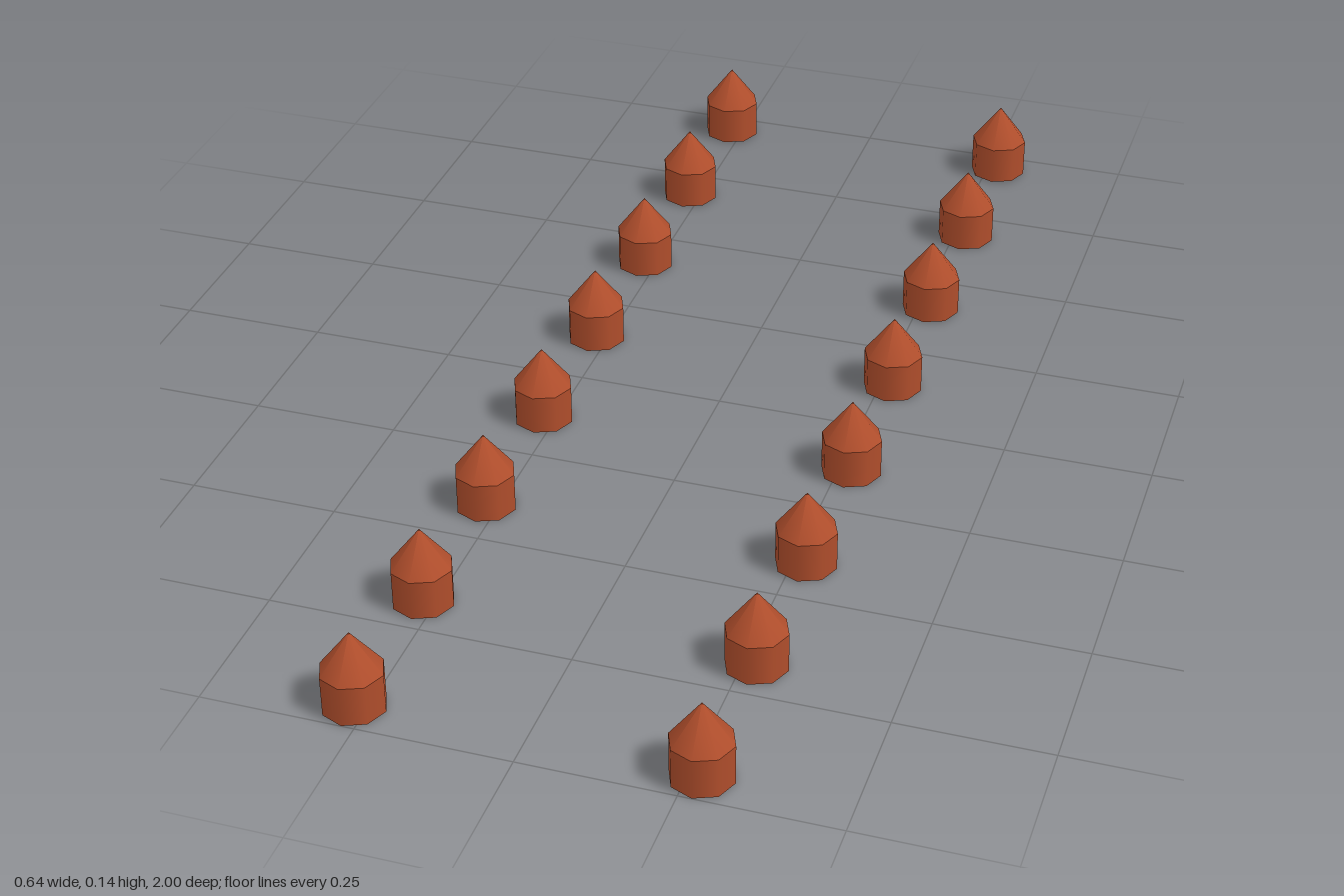
import * as THREE from 'three';

export function createModel() {
  const model = new THREE.Group();
  model.name = 'postRows';
  const rust = new THREE.MeshStandardMaterial({ color: 0xb04e2c });
  rust.name = 'rust';

  const radius = 0.051, half = 0.068, count = 8, rowX = 0.271, spacing = 0.271;

  // Eight-sided smooth stub, and the cone that caps it
  const stubGeometry = new THREE.CylinderGeometry(radius, radius, half, 8);
  stubGeometry.translate(0, half / 2, 0);
  const tipGeometry = new THREE.ConeGeometry(radius, half, 8, 1, true);
  tipGeometry.translate(0, half * 1.5, 0);

  // Two parallel rows of pointed posts
  for (const side of [-1, 1]) {
    const row = new THREE.Group();
    row.name = side > 0 ? 'leftRow' : 'rightRow';
    for (let i = 0; i < count; i++) {
      const post = new THREE.Group();
      post.name = 'post' + (i + 1);
      const stub = new THREE.Mesh(stubGeometry, rust);
      stub.name = 'postBody';
      const tip = new THREE.Mesh(tipGeometry, rust);
      tip.name = 'postTip';
      post.add(stub, tip);
      post.position.set(side * rowX, 0, (i - (count - 1) / 2) * spacing);
      row.add(post);
    }
    model.add(row);
  }
  return model;
}
